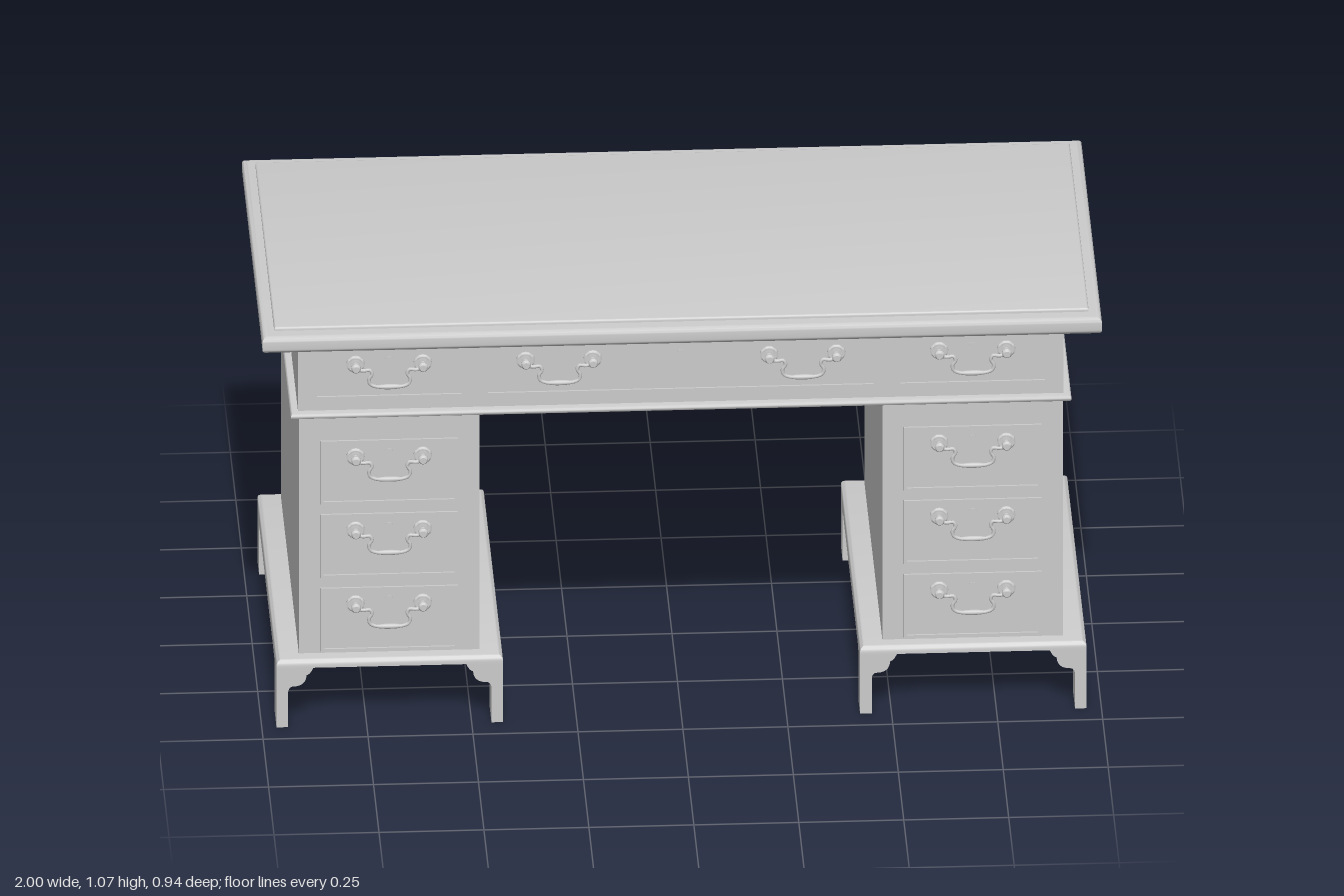
import * as THREE from 'three';
import { toCreasedNormals, mergeGeometries } from 'three/addons/utils/BufferGeometryUtils.js';

const material = new THREE.MeshStandardMaterial({ color: 0xcccccc });

function add(parent, name, geometry, x = 0, y = 0, z = 0) {
  const mesh = new THREE.Mesh(geometry, material);
  mesh.name = name;
  mesh.position.set(x, y, z);
  parent.add(mesh);
  return mesh;
}

function box(parent, name, x0, x1, y0, y1, z0, z1) {
  return add(parent, name, new THREE.BoxGeometry(x1 - x0, y1 - y0, z1 - z0),
    (x0 + x1) / 2, (y0 + y1) / 2, (z0 + z1) / 2);
}

// Rectangular moulding with mitred corners; profile is [inset, y] from bottom to top
function mitred(w, d, profile) {
  const pos = [], index = [];
  for (const [inset, y] of profile) {
    for (const [sx, sz] of [[1, 1], [1, -1], [-1, -1], [-1, 1]]) {
      pos.push(sx * (w / 2 - inset), y, sz * (d / 2 - inset));
    }
  }
  const last = (profile.length - 1) * 4;
  for (let j = 0; j < last; j += 4) {
    for (let i = 0; i < 4; i++) {
      const a = j + i, b = j + (i + 1) % 4;
      index.push(a, b, b + 4, a, b + 4, a + 4);
    }
  }
  index.push(0, 2, 1, 0, 3, 2, last, last + 1, last + 2, last, last + 2, last + 3);
  const g = new THREE.BufferGeometry();
  g.setAttribute('position', new THREE.Float32BufferAttribute(pos, 3));
  g.setIndex(index);
  return toCreasedNormals(g, 0.7);
}

// Quarter-round profile points between two angles, on a circle touching inset 0
function arc(r, y, from, to, steps = 6) {
  return Array.from({ length: steps + 1 }, (_, i) => {
    const a = from + (to - from) * i / steps;
    return [r - r * Math.cos(a), y + r * Math.sin(a)];
  });
}

function rect(w, h) {
  return [[-w / 2, -h / 2], [w / 2, -h / 2], [w / 2, h / 2], [-w / 2, h / 2]]
    .map(([x, y]) => new THREE.Vector2(x, y));
}

const extrude = (shape, depth) => toCreasedNormals(
  new THREE.ExtrudeGeometry(shape, { depth, bevelEnabled: false, curveSegments: 6 }), 0.6);

// Round back plate, neck and knob in one turned piece, pointing to +z
const knobGeometry = toCreasedNormals(new THREE.LatheGeometry(
  [[0.022, 0], [0.022, 0.003], [0.018, 0.006], [0.013, 0.005], [0.007, 0.007], [0.006, 0.017],
    [0.011, 0.020], [0.012, 0.027], [0.008, 0.033], [0, 0.035]].map(p => new THREE.Vector2(...p)), 20)
  .rotateX(Math.PI / 2), 0.7);

// Swan-neck bail hanging between the two knobs, thicker in the middle
const half = [[0.08, -0.004], [0.062, -0.007], [0.047, -0.006], [0.042, -0.016],
  [0.049, -0.03], [0.046, -0.043], [0.032, -0.05]];
const bailPath = new THREE.CatmullRomCurve3([
  ...half.map(([x, y]) => new THREE.Vector3(-x, y, 0)),
  new THREE.Vector3(0, -0.051, 0),
  ...half.slice().reverse().map(([x, y]) => new THREE.Vector3(x, y, 0))]);
const bailGeometry = mergeGeometries([
  new THREE.TubeGeometry(bailPath, 60, 0.0045, 8),
  new THREE.SphereGeometry(1, 16, 10).scale(0.036, 0.0065, 0.0065).translate(0, -0.051, 0)]);

// Keyhole plate: a small teardrop
const keyShape = new THREE.Shape();
keyShape.moveTo(0, -0.017);
keyShape.bezierCurveTo(0.006, -0.004, 0.01, 0, 0.009, 0.006);
keyShape.bezierCurveTo(0.008, 0.015, -0.008, 0.015, -0.009, 0.006);
keyShape.bezierCurveTo(-0.01, 0, -0.006, -0.004, 0, -0.017);
const keyGeometry = extrude(keyShape, 0.003);

const FRONT = 0.404;

function drawer(parent, x, y0, y1, w, handleXs) {
  const g = new THREE.Group();
  g.name = 'drawer';
  const h = y1 - y0;
  g.position.set(x, (y0 + y1) / 2, FRONT);
  const frame = new THREE.Shape(rect(w, h));
  frame.holes.push(new THREE.Path(rect(w - 0.016, h - 0.016)));
  add(g, 'drawerBead', extrude(frame, 0.006), 0, 0, -0.001);
  add(g, 'drawerFront', new THREE.BoxGeometry(w - 0.018, h - 0.018, 0.004));
  const hy = y1 - 0.043 - (y0 + y1) / 2;
  for (const hx of handleXs) {
    const handle = new THREE.Group();
    handle.name = 'handle';
    handle.position.set(hx, hy, 0.002);
    for (const s of [-1, 1]) add(handle, 'handleKnob', knobGeometry, s * 0.08);
    add(handle, 'handleBail', bailGeometry, 0, 0, 0.023);
    g.add(handle);
  }
  add(g, 'keyholePlate', keyGeometry, 0, hy + 0.006, 0.001);
  parent.add(g);
}

// Base with side aprons and bracket feet
function pedestalBase() {
  const g = new THREE.Group();
  g.name = 'pedestalBase';
  const W = 0.27, D = 0.44, T = 0.028, RAIL = 0.157;
  add(g, 'baseMoulding', mitred(W * 2, D * 2,
    [[T, 0.168], [T, RAIL], [0, RAIL], ...arc(0.015, 0.163, 0, Math.PI / 2)]));

  const side = new THREE.Shape();
  const inner = 0.36, apron = 0.135, r = 0.015;
  side.moveTo(-D, 0);
  side.lineTo(-inner, 0);
  side.lineTo(-inner, apron - r);
  side.quadraticCurveTo(-inner, apron, -inner + r, apron);
  side.lineTo(inner - r, apron);
  side.quadraticCurveTo(inner, apron, inner, apron - r);
  side.lineTo(inner, 0);
  side.lineTo(D, 0);
  side.lineTo(D, RAIL);
  side.lineTo(-D, RAIL);
  const sideGeometry = extrude(side, T).rotateY(-Math.PI / 2);
  for (const s of [-1, 1]) {
    add(g, 'sideFeet', sideGeometry, s > 0 ? W : T - W);
    // Curved brackets beside each foot, front and back
    const b = new THREE.Shape();
    const x = v => s * (W - v);
    b.moveTo(x(T), 0.095);
    b.quadraticCurveTo(x(T + 0.002), 0.108, x(0.04), 0.108);
    b.quadraticCurveTo(x(0.07), 0.108, x(0.072), 0.138);
    b.quadraticCurveTo(x(0.08), 0.139, x(0.088), RAIL);
    b.lineTo(x(T), RAIL);
    const bracket = extrude(b, T);
    add(g, 'frontBracket', bracket, 0, 0, D - T);
    add(g, 'backBracket', bracket, 0, 0, -D);
  }
  return g;
}

export function createModel() {
  const desk = new THREE.Group();
  desk.name = 'pedestalDesk';

  // Top slab with rounded edge and raised writing surface
  add(desk, 'desktop', mitred(2, 0.94, [
    ...arc(0.013, 1.025, -Math.PI / 2, 0), ...arc(0.013, 1.043, 0, Math.PI / 2)]));
  add(desk, 'writingSurface', mitred(1.94, 0.866,
    [[0, 1.05], ...arc(0.005, 1.06, 0, Math.PI / 2, 3)]));

  // Upper case and half-round waist moulding
  box(desk, 'upperCase', -0.912, 0.912, 0.815, 1.02, -FRONT, FRONT);
  add(desk, 'waistMoulding', mitred(1.86, 0.844, arc(0.008, 0.818, -Math.PI / 2, Math.PI / 2, 10)));
  drawer(desk, 0, 0.856, 0.992, 0.934, [-0.29, 0.29]);

  // Pedestals, mirrored left and right
  for (const s of [-1, 1]) {
    const pedestal = new THREE.Group();
    pedestal.name = s > 0 ? 'leftPedestal' : 'rightPedestal';
    pedestal.position.x = s * 0.695;
    box(pedestal, 'pedestalCase', -0.215, 0.215, 0.172, 0.812, -FRONT, FRONT);
    for (const y of [0.182, 0.379, 0.575]) drawer(pedestal, 0, y, y + 0.17, 0.328, [0]);
    drawer(pedestal, 0, 0.856, 0.992, 0.36, [0]);
    pedestal.add(pedestalBase());
    desk.add(pedestal);
  }
  return desk;
}
